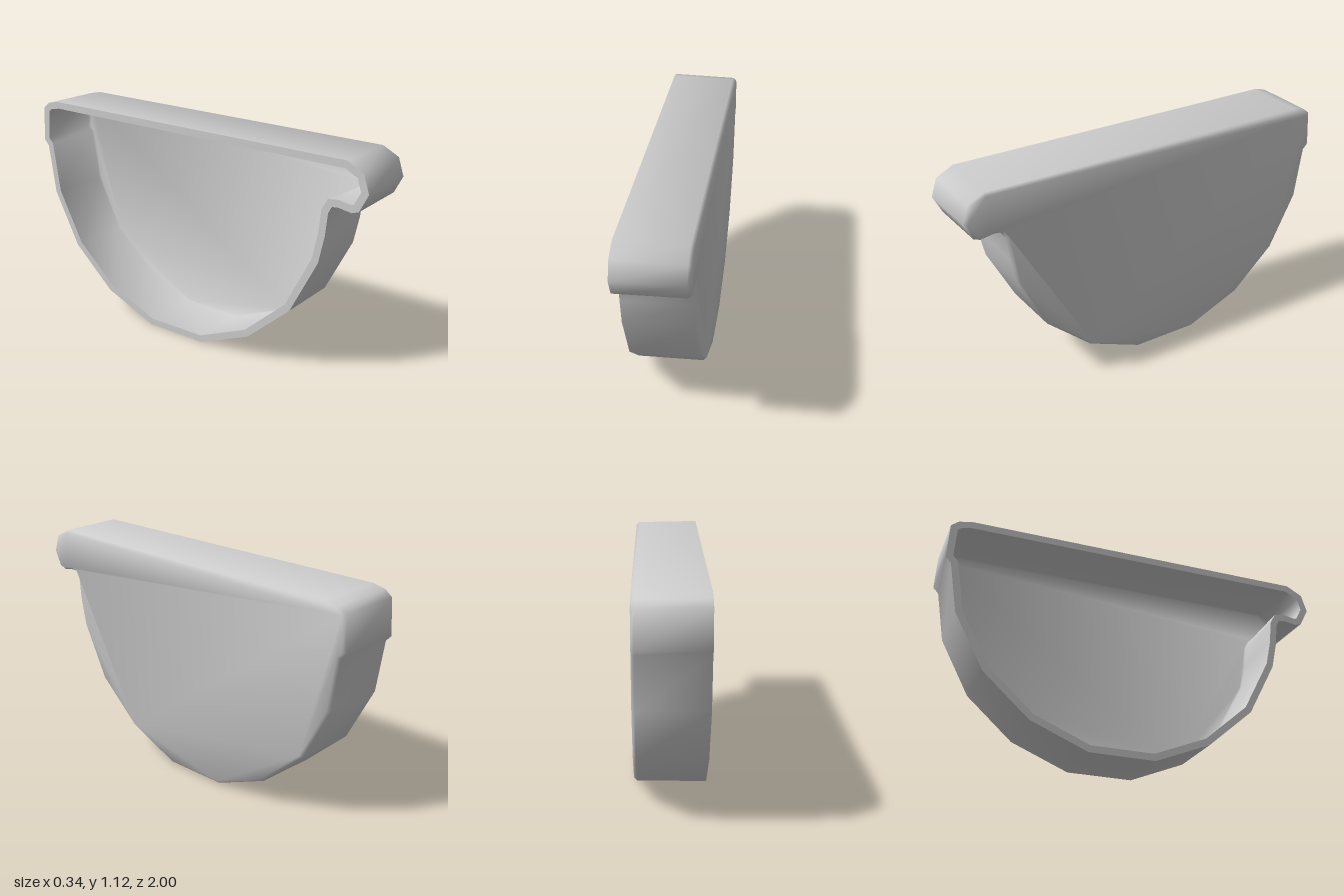
import * as THREE from 'three';
import { toCreasedNormals } from 'three/addons/utils/BufferGeometryUtils.js';

// Half-round gutter outline as [z, y], from the front bead down and round to the back
const PROFILE = [
  [0.885, 1.124], [0.97, 1.08], [1, 0.99], [0.955, 0.902], [0.92, 0.89], [0.85, 0.901],
  [0.82, 0.897], [0.802, 0.865], [0.79, 0.75], [0.76, 0.612], [0.615, 0.332], [0.375, 0.121],
  [0.085, 0], [-0.255, 0], [-0.55, 0.121], [-0.785, 0.332], [-0.932, 0.612], [-0.972, 0.87],
  [-1, 0.9], [-0.988, 1.08], [-0.95, 1.11], [-0.885, 1.124],
].map(([z, y]) => new THREE.Vector2(-z, y));

// Mitred inward offset of the closed outline
function inset(points, d) {
  const n = points.length;
  const inward = (a, b) => {
    const e = b.clone().sub(a).normalize();
    return new THREE.Vector2(-e.y, e.x);
  };
  return points.map((p, i) => {
    const n0 = inward(points[(i + n - 1) % n], p);
    const n1 = inward(p, points[(i + 1) % n]);
    return n0.clone().add(n1).multiplyScalar(d / (1 + n0.dot(n1))).add(p);
  });
}

// Rings as [x, inset]: inside of the plate, inner wall, open rim, outer wall, bevelled plate edge
const RINGS = [
  [0.159, 0.028], [0.151, 0.02], [-0.171, 0.036], [-0.171, 0],
  [0.156, 0.005], [0.171, 0.019],
];

function endCapGeometry() {
  const n = PROFILE.length;
  const outlines = RINGS.map(([, d]) => inset(PROFILE, d));
  const positions = [];
  const index = [];
  outlines.forEach((ring, r) => ring.forEach((p) => positions.push(RINGS[r][0], p.y, -p.x)));

  // Walls between neighbouring rings
  for (let r = 0; r < RINGS.length - 1; r++) {
    for (let i = 0; i < n; i++) {
      const a = r * n + i;
      const b = r * n + ((i + 1) % n);
      index.push(a, b, a + n, b, b + n, a + n);
    }
  }

  // Inner and outer faces of the end plate
  const last = RINGS.length - 1;
  for (const [a, b, c] of THREE.ShapeUtils.triangulateShape(outlines[0], [])) index.push(a, c, b);
  for (const [a, b, c] of THREE.ShapeUtils.triangulateShape(outlines[last], [])) {
    index.push(last * n + a, last * n + b, last * n + c);
  }

  const geometry = new THREE.BufferGeometry();
  geometry.setAttribute('position', new THREE.Float32BufferAttribute(positions, 3));
  geometry.setIndex(index);
  // Soft bead and bevels, crisp open rim
  return toCreasedNormals(geometry, 1.2);
}

export function createModel() {
  const group = new THREE.Group();
  group.name = 'gutterEndCap';
  const shell = new THREE.Mesh(
    endCapGeometry(),
    new THREE.MeshStandardMaterial({ color: 0xcccccc }),
  );
  shell.name = 'capShell';
  group.add(shell);
  return group;
}
